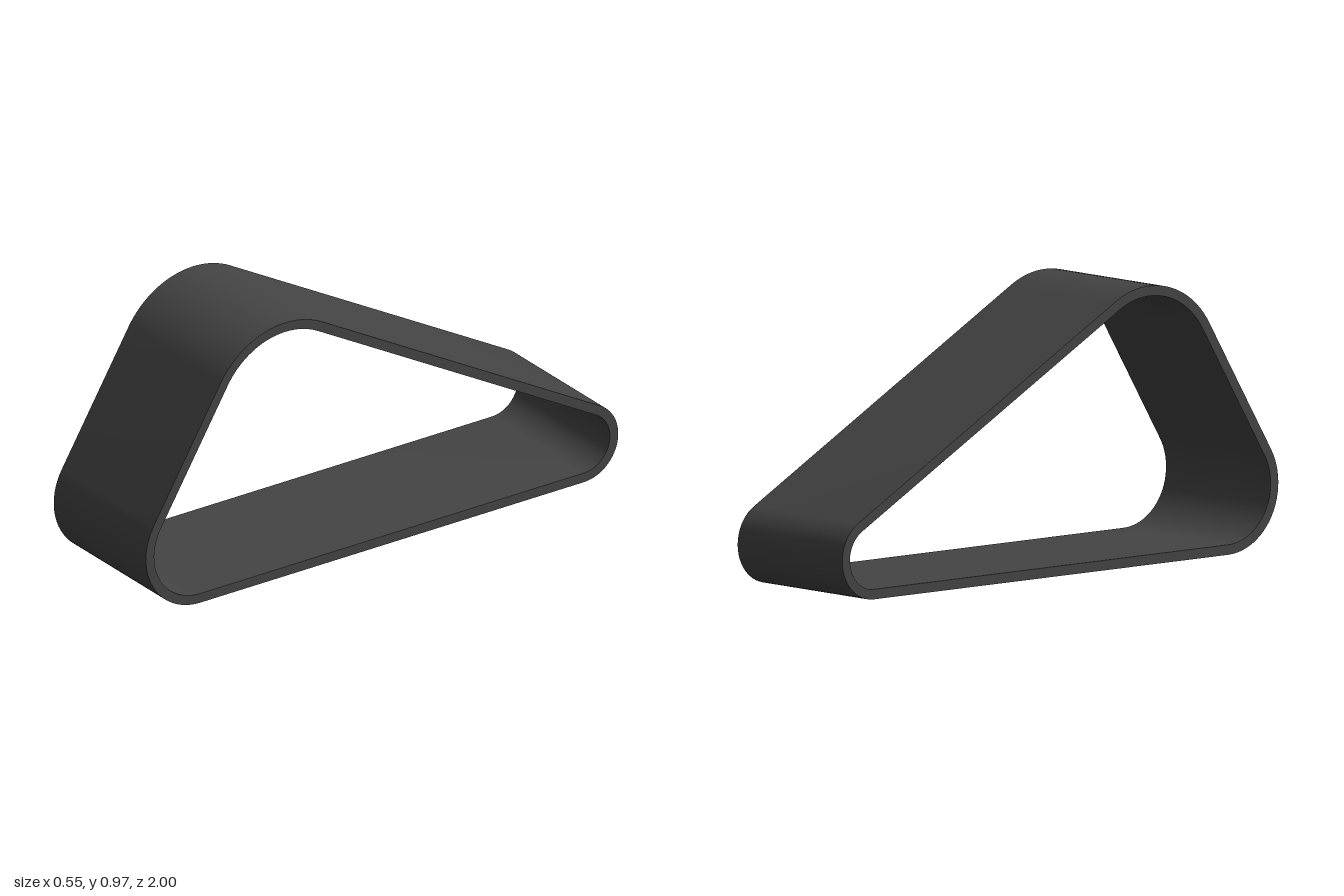
import * as THREE from 'three';
import { toCreasedNormals } from 'three/addons/utils/BufferGeometryUtils.js';

// Pulley circles the band wraps, counter-clockwise: [z, y, outer radius]
const CORNERS = [
  [0.77, 0.23, 0.23],
  [0.41, 0.65, 0.32],
  [-0.855, 0.145, 0.145],
];
const WIDTH = 0.545;
const THICKNESS = 0.035;

// Direction of the outward normal of the straight run from circle a to b
function runNormal([az, ay, ar], [bz, by, br]) {
  const dz = bz - az, dy = by - ay;
  return Math.atan2(dy, dz) - Math.PI / 2 + Math.asin((br - ar) / Math.hypot(dz, dy)) * -1;
}

// Trace the belt loop around the circles, pulled inwards by inset
function traceLoop(path, inset) {
  const n = CORNERS.length;
  CORNERS.forEach((c, i) => {
    const start = runNormal(CORNERS[(i + n - 1) % n], c);
    let end = runNormal(c, CORNERS[(i + 1) % n]);
    while (end < start) end += Math.PI * 2;
    path.absarc(c[0], c[1], c[2] - inset, start, end, false);
  });
  path.closePath();
  return path;
}

export function createModel() {
  const group = new THREE.Group();
  group.name = 'triangularBand';

  const rubber = new THREE.MeshStandardMaterial({ color: 0x444444 });
  rubber.name = 'dark grey rubber';

  // Closed band with rounded corners
  const profile = traceLoop(new THREE.Shape(), 0);
  profile.holes.push(traceLoop(new THREE.Path(), THICKNESS));
  const extruded = new THREE.ExtrudeGeometry(profile, {
    depth: WIDTH, bevelEnabled: false, curveSegments: 12,
  });
  extruded.translate(0, 0, -WIDTH / 2);
  extruded.rotateY(-Math.PI / 2);

  const band = new THREE.Mesh(toCreasedNormals(extruded, 0.6), rubber);
  band.name = 'band';
  group.add(band);
  return group;
}
